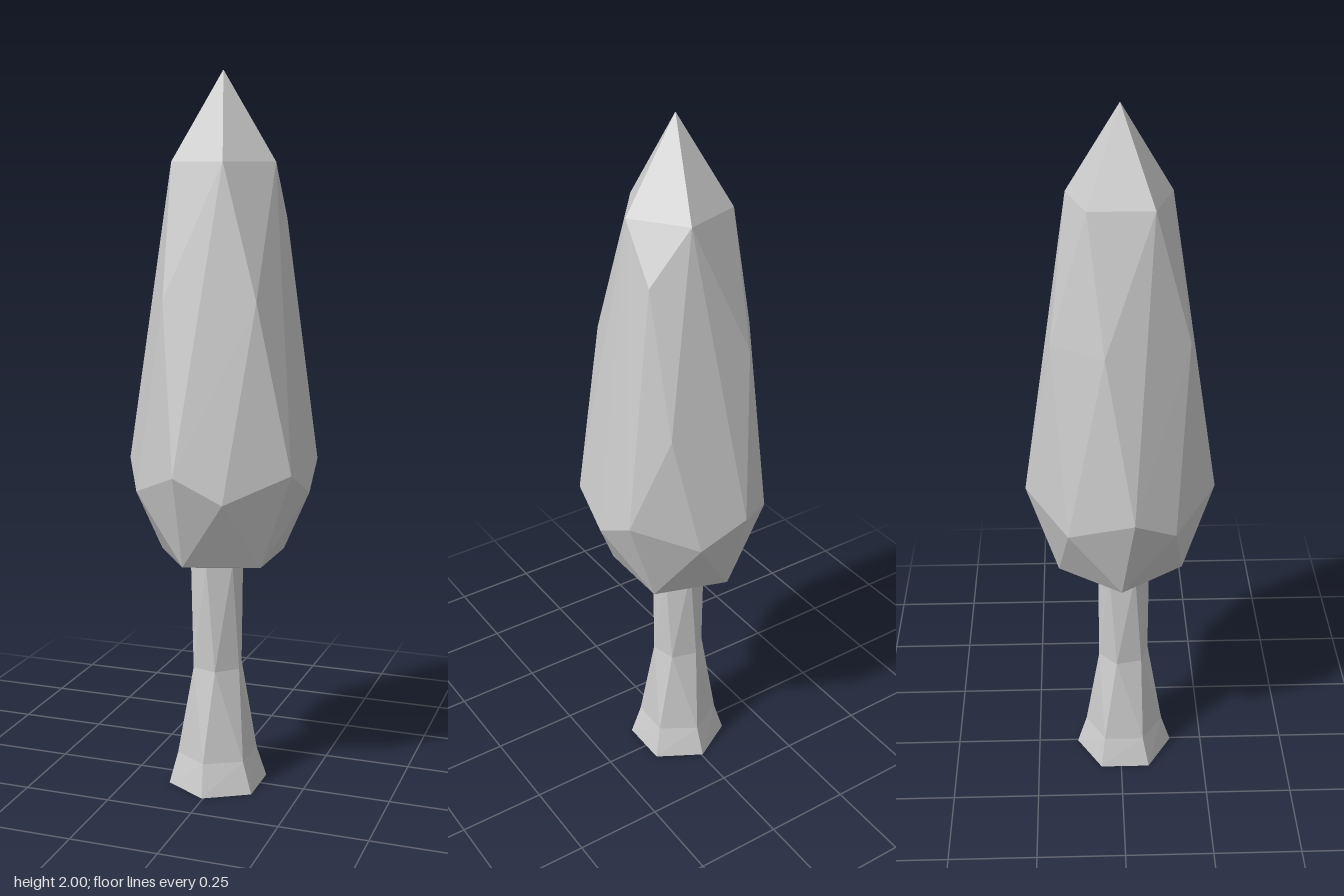
import * as THREE from 'three';
import { ConvexGeometry } from 'three/addons/geometries/ConvexGeometry.js';

const material = new THREE.MeshStandardMaterial({ color: 0xcccccc, flatShading: true, side: THREE.DoubleSide });

// Faceted crown: five-sided tiers of points under one tip, wrapped in a hull
function crownGeometry() {
  const tiers = [
    [2.0, [[0.007, 0]]],
    [1.76, [[0.155, 0], [0.053, 0.139], [-0.11, 0.086], [-0.11, -0.087], [0.053, -0.14]]],
    [1.61, [[0.156, -0.105]]],
    [1.4, [[0.152, 0.157], [-0.1, 0.182], [-0.2, -0.045], [-0.1, -0.185]]],
    [1.21, [[0.147, -0.191]]],
    [0.94, [[0.243, 0.13], [-0.045, 0.262], [-0.26, 0.032], [-0.045, -0.264], [0.243, -0.131]]],
    [0.87, [[0.257, 0], [0.085, 0.237], [-0.195, 0.147], [-0.195, -0.147], [0.085, -0.239]]],
    [0.675, [[0.153, 0.109], [-0.05, 0.176], [-0.178, 0], [-0.05, -0.176], [0.153, -0.109]]],
    [0.63, [[0, 0]]],
  ];
  const points = tiers.flatMap(([y, ring]) => ring.map(([x, z]) => new THREE.Vector3(x, y, z)));
  return new ConvexGeometry(points);
}

// Twisted six-sided trunk, hollow and flared at the foot
function trunkGeometry() {
  const sides = 6;
  // y, radius, twist in degrees, centre x, centre z
  const rings = [
    [0, 0.143, 90, -0.004, 0.012],
    [0.09, 0.115, 92, -0.006, 0.012],
    [0.35, 0.075, 137, -0.006, 0.01],
    [0.66, 0.074, 95, -0.008, 0.01],
  ];
  const positions = [];
  const indices = [];
  rings.forEach(([y, r, twist, cx, cz], j) => {
    for (let i = 0; i < sides; i++) {
      const a = THREE.MathUtils.degToRad(twist + (i * 360) / sides);
      positions.push(cx + r * Math.cos(a), y, cz + r * Math.sin(a));
      if (j === rings.length - 1) continue;
      const p = j * sides + i;
      const q = j * sides + ((i + 1) % sides);
      const pu = p + sides;
      const qu = q + sides;
      // Split each panel along its shorter diagonal
      if (rings[j + 1][2] >= twist) indices.push(p, pu, q, q, pu, qu);
      else indices.push(p, pu, qu, p, qu, q);
    }
  });
  const indexed = new THREE.BufferGeometry();
  indexed.setAttribute('position', new THREE.Float32BufferAttribute(positions, 3));
  indexed.setIndex(indices);
  const geometry = indexed.toNonIndexed();
  geometry.computeVertexNormals();
  return geometry;
}

export function createModel() {
  const tree = new THREE.Group();
  tree.name = 'tree';
  const crown = new THREE.Mesh(crownGeometry(), material);
  crown.name = 'crown';
  const trunk = new THREE.Mesh(trunkGeometry(), material);
  trunk.name = 'trunk';
  tree.add(crown, trunk);
  return tree;
}
